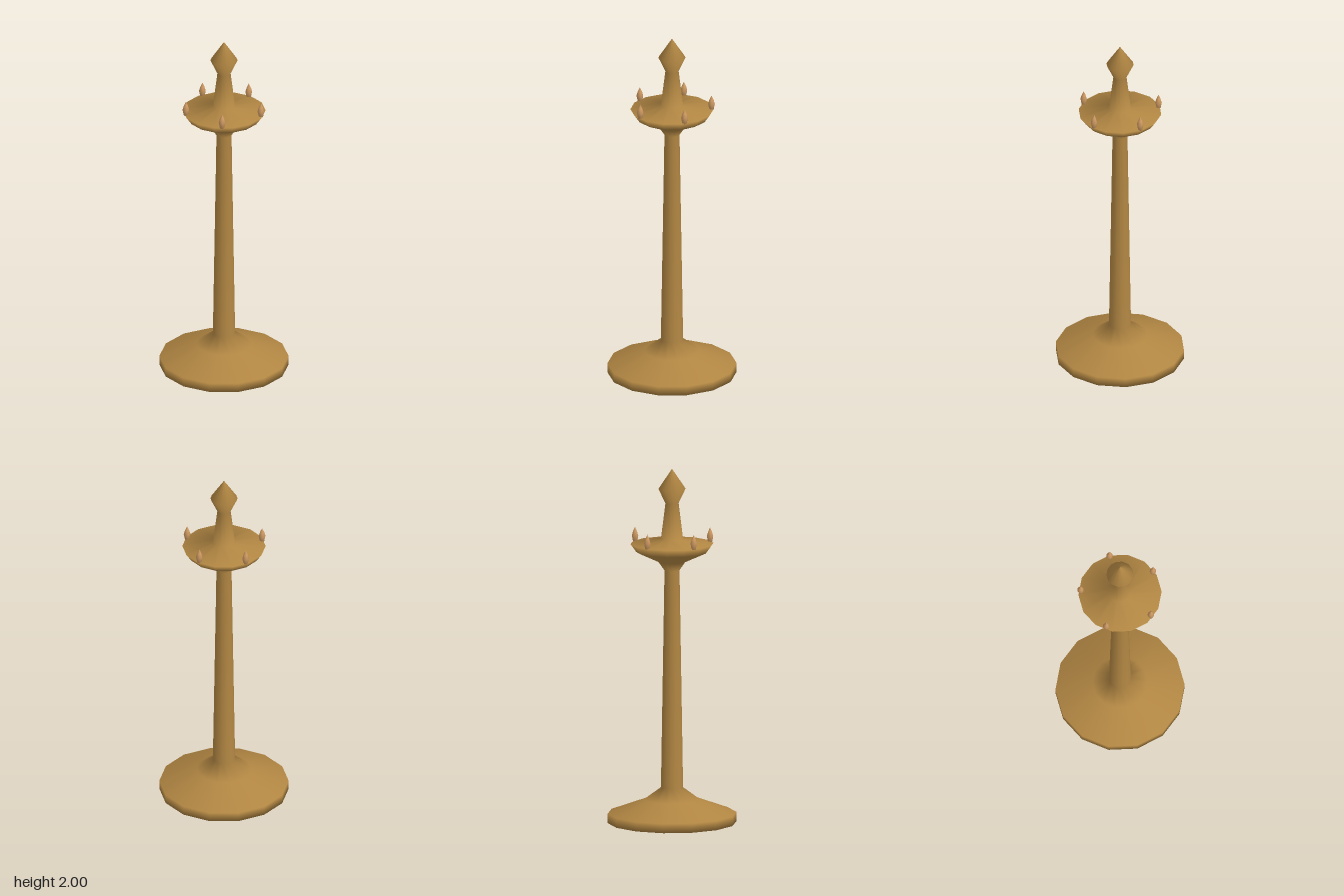
import * as THREE from 'three';

const brass = new THREE.MeshStandardMaterial({ color: 0xb08542 });
brass.name = 'brass';
const flameColor = new THREE.MeshStandardMaterial({ color: 0xcf9a62 });
flameColor.name = 'flame';

// Smooth turned shape from [radius, height] pairs, listed bottom to top, with a corner on +x
function turned(name, profile, sides, material) {
  const points = profile.map(([r, y]) => new THREE.Vector2(r, y));
  const mesh = new THREE.Mesh(new THREE.LatheGeometry(points, sides, Math.PI / 2), material);
  mesh.name = name;
  return mesh;
}

export function createModel() {
  const model = new THREE.Group();
  model.name = 'candleStand';

  // Foot, tapering column, shallow dish and pointed finial, turned as one piece
  model.add(turned('stand', [
    [0, 0], [0.36, 0], [0.36, 0.053], // foot
    [0.153, 0.13], [0.062, 0.197],
    [0.042, 1.425], // column
    [0.077, 1.475], [0.2, 1.532], [0.232, 1.577], // dish
    [0.062, 1.604], [0.037, 1.805], // spire
    [0.076, 1.887], [0, 2], // finial
  ], 14, brass));

  // Ring of five small flames on the dish rim
  const flames = new THREE.Group();
  flames.name = 'flames';
  for (let i = 0; i < 5; i++) {
    const angle = (i / 5) * Math.PI * 2;
    const flame = turned('flame', [
      [0, 0], [0.012, 0], [0.019, 0.034], [0.012, 0.058], [0, 0.084],
    ], 8, flameColor);
    flame.position.set(0.22 * Math.cos(angle), 1.574, 0.22 * Math.sin(angle));
    flames.add(flame);
  }
  model.add(flames);
  return model;
}
